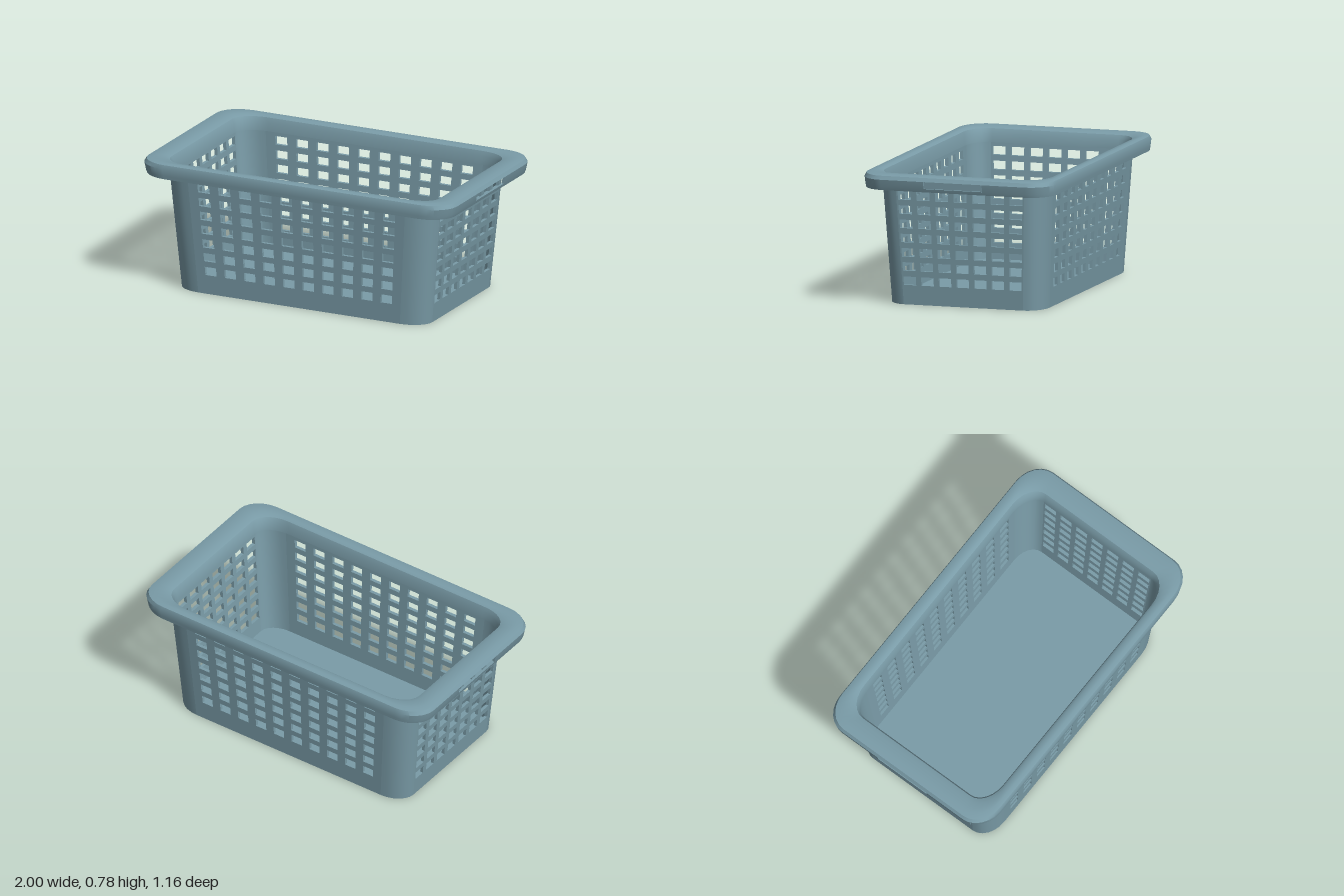
import * as THREE from 'three';
import { toCreasedNormals } from 'three/addons/utils/BufferGeometryUtils.js';

const H = 0.69;             // body height below the rim
const HX = 0.865, HZ = 0.51; // outer half sizes at the top of the body
const FX = 0.7, FZ = 0.39;   // half lengths of the flat walls
const T = 0.02;              // wall thickness
const SEG = 6;               // segments per rounded corner
const SLOT = 0.178;          // half length of a handle slot

const material = new THREE.MeshStandardMaterial({ color: 0x7a9ca8, side: THREE.DoubleSide });

function addMesh(group, name, geometry) {
  const mesh = new THREE.Mesh(toCreasedNormals(geometry, 0.6), material);
  mesh.name = name;
  group.add(mesh);
}

// Narrows the straight body towards the floor
function taper(geometry) {
  const p = geometry.attributes.position;
  for (let i = 0; i < p.count; i++) {
    const s = 0.927 + 0.073 * p.getY(i) / H;
    p.setX(i, p.getX(i) * s);
    p.setZ(i, p.getZ(i) * s);
  }
  return geometry;
}

// Quarter arc in plan for the corner with signs sx, sz
function cornerArc(sx, sz, cx, cz, hx, hz) {
  const pts = [];
  for (let i = 0; i <= SEG; i++) {
    const a = (i / SEG) * Math.PI / 2;
    pts.push(new THREE.Vector2(sx * (cx + (hx - cx) * Math.cos(a)), sz * (cz + (hz - cz) * Math.sin(a))));
  }
  return pts;
}

// Closed rounded rectangle in plan, with extra points at the ends of the handle slots
function ring(cx, cz, hx, hz) {
  const v = (x, z) => new THREE.Vector2(x, z);
  const arc = (sx, sz) => cornerArc(sx, sz, cx, cz, hx, hz);
  return [
    v(hx, SLOT), ...arc(1, 1), ...arc(-1, 1).reverse(), v(-hx, SLOT),
    v(-hx, -SLOT), ...arc(-1, -1), ...arc(1, -1).reverse(), v(hx, -SLOT),
  ];
}

// Flat wall with a grid of rectangular openings
function wallPanel(half, face, columns, pitch, width) {
  const rect = (path, x0, y0, x1, y1) =>
    path.moveTo(x0, y0).lineTo(x1, y0).lineTo(x1, y1).lineTo(x0, y1).closePath();
  const shape = new THREE.Shape();
  rect(shape, -half, 0, half, H);
  for (let r = 0; r < 7; r++) {
    for (let c = 0; c < columns; c++) {
      const x = (c - (columns - 1) / 2) * pitch, y = 0.14 + r * 0.084;
      const hole = new THREE.Path();
      rect(hole, x - width / 2, y - 0.025, x + width / 2, y + 0.025);
      shape.holes.push(hole);
    }
  }
  return new THREE.ExtrudeGeometry(shape, { depth: T, bevelEnabled: false }).translate(0, 0, face - T);
}

// Rolled rim: a closed section swept round the basket, with a slot at each end
function rimGeometry() {
  // half x, half z, height
  const section = [
    [0.845, 0.49, 0.69], [0.85, 0.495, 0.74], [0.865, 0.505, 0.768], [0.895, 0.52, 0.778],
    [0.955, 0.55, 0.78], [0.988, 0.572, 0.774], [1.0, 0.58, 0.752], [0.992, 0.577, 0.71],
    [0.985, 0.575, 0.69], [0.97, 0.56, 0.69], [0.977, 0.562, 0.71], [0.985, 0.565, 0.752],
    [0.95, 0.545, 0.765], [0.89, 0.525, 0.762], [0.868, 0.513, 0.735], [0.865, 0.51, 0.69],
  ];
  const outTop = 6, outLow = 7, inLow = 10, inTop = 11;
  const pos = [], index = [];
  let n = 0;
  for (const [hx, hz, y] of section) {
    const t = (hx - HX) / (1 - HX);
    const pts = ring(FX + 0.13 * t, FZ + 0.05 * t, hx, hz);
    n = pts.length;
    for (const p of pts) pos.push(p.x, y, p.y);
  }
  const quad = (a, b, c, d) => index.push(a, b, c, a, c, d);
  const m = section.length;
  for (let i = 0; i < n; i++) {
    const j = (i + 1) % n;
    const slot = i === n - 1 || i === n / 2 - 1;
    for (let k = 0; k < m; k++) {
      if (slot && (k === outTop || k === inLow)) continue;
      const l = (k + 1) % m;
      quad(k * n + i, k * n + j, l * n + j, l * n + i);
    }
    if (slot) {
      // lining of the slot
      quad(outTop * n + i, outTop * n + j, inTop * n + j, inTop * n + i);
      quad(inLow * n + i, inLow * n + j, outLow * n + j, outLow * n + i);
      quad(outTop * n + i, inTop * n + i, inLow * n + i, outLow * n + i);
      quad(outTop * n + j, outLow * n + j, inLow * n + j, inTop * n + j);
    }
  }
  const g = new THREE.BufferGeometry();
  g.setAttribute('position', new THREE.Float32BufferAttribute(pos, 3));
  g.setIndex(index);
  return g;
}

export function createModel() {
  const basket = new THREE.Group();
  basket.name = 'laundryBasket';

  // Perforated walls
  for (const [side, turn] of [['front', 0], ['back', Math.PI]]) {
    addMesh(basket, side + 'Wall', taper(wallPanel(FX, HZ, 10, 0.1335, 0.077).rotateY(turn)));
  }
  for (const [side, turn] of [['left', Math.PI / 2], ['right', -Math.PI / 2]]) {
    addMesh(basket, side + 'Wall', taper(wallPanel(FZ, HX, 7, 0.1135, 0.08).rotateY(turn)));
  }

  // Solid rounded corners
  for (const sx of [1, -1]) {
    for (const sz of [1, -1]) {
      const shape = new THREE.Shape([
        ...cornerArc(sx, sz, FX, FZ, HX, HZ),
        ...cornerArc(sx, sz, FX, FZ, HX - T, HZ - T).reverse(),
      ]);
      const g = new THREE.ExtrudeGeometry(shape, { depth: H, bevelEnabled: false }).rotateX(-Math.PI / 2);
      addMesh(basket, 'cornerWall', taper(g));
    }
  }

  // Floor
  const floorShape = new THREE.Shape(ring(FX, FZ, HX - 0.004, HZ - 0.004));
  const floor = new THREE.ExtrudeGeometry(floorShape, { depth: T, bevelEnabled: false }).rotateX(-Math.PI / 2);
  addMesh(basket, 'floor', taper(floor));

  // Rim with handle slots
  addMesh(basket, 'rim', rimGeometry());

  return basket;
}
